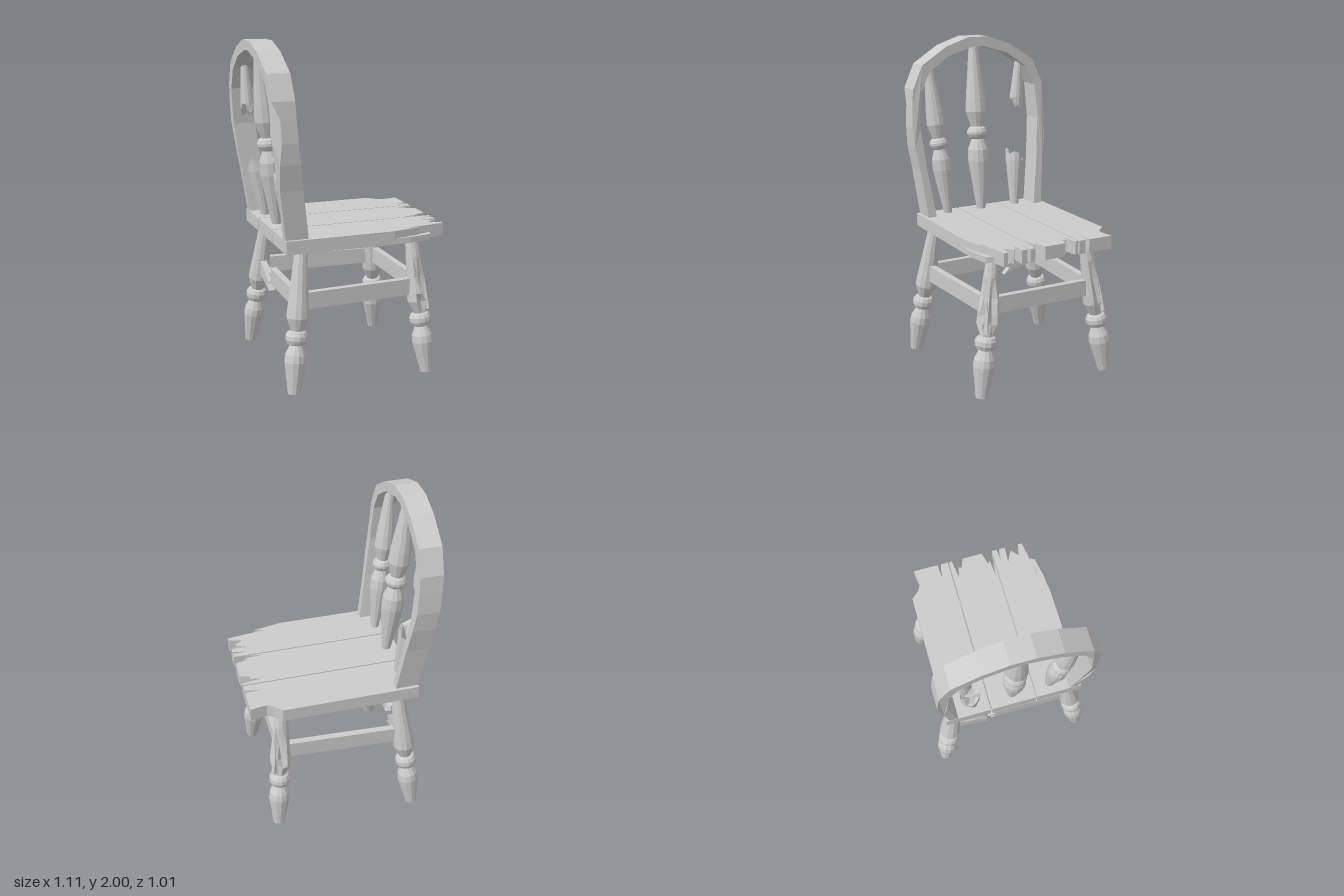
import * as THREE from 'three';

const material = new THREE.MeshStandardMaterial({ color: 0xcccccc, flatShading: true, side: THREE.DoubleSide });
const V = (x, y, z) => new THREE.Vector3(x, y, z);

function add(parent, name, geometry) {
  geometry.computeVertexNormals();
  const mesh = new THREE.Mesh(geometry, material);
  mesh.name = name;
  parent.add(mesh);
  return mesh;
}

function eachVertex(geometry, rule) {
  const p = geometry.attributes.position, v = V(0, 0, 0);
  for (let i = 0; i < p.count; i++) {
    rule(v.fromBufferAttribute(p, i));
    p.setXYZ(i, v.x, v.y, v.z);
  }
}

function slab(points, depth) {
  const shape = new THREE.Shape(points.map(([x, y]) => new THREE.Vector2(x, y)));
  return new THREE.ExtrudeGeometry(shape, { depth, bevelEnabled: false });
}

// Turned post: profile of [radius, fraction of length] along the line from a to b
function turned(parent, name, profile, a, b, rule) {
  const length = a.distanceTo(b);
  const g = new THREE.LatheGeometry(profile.map(([r, t]) => new THREE.Vector2(r, t * length)), 12);
  if (rule) eachVertex(g, rule);
  const mesh = add(parent, name, g);
  mesh.position.copy(a);
  mesh.quaternion.setFromUnitVectors(V(0, 1, 0), b.clone().sub(a).normalize());
  return mesh;
}

function rail(parent, name, a, b) {
  const mesh = add(parent, name, new THREE.BoxGeometry(0.04, 0.1, a.distanceTo(b)));
  mesh.position.copy(a).add(b).multiplyScalar(0.5);
  mesh.lookAt(b);
}

// Backward lean of the chair back: middle x at height y
const lean = y => y < 1.5 ? -0.39 - (y - 0.91) * 0.135 : -0.47 - (y - 1.5) * 0.037;

function buildSeat(group) {
  // Plank outlines [x, z], with splintered front ends
  const planks = [
    [[-0.46, -0.425], [0.37, -0.425], [0.41, -0.38], [0.45, -0.355], [0.55, -0.37], [0.55, -0.215],
      [0.45, -0.208], [0.52, -0.2], [0.55, -0.19], [0.55, -0.147], [-0.46, -0.147]],
    [[-0.46, -0.139], [0.55, -0.139], [0.55, -0.12], [0.43, -0.105], [0.5, -0.09], [0.49, -0.07], [0.55, -0.05],
      [0.55, 0.078], [0.47, 0.1], [0.49, 0.115], [0.37, 0.123], [0.48, 0.138], [-0.46, 0.138]],
    [[-0.46, 0.146], [0.55, 0.146], [0.55, 0.178], [0.46, 0.182], [0.55, 0.195], [0.55, 0.232], [0.45, 0.225],
      [0.5, 0.25], [0.52, 0.265], [0.47, 0.305], [0.55, 0.32], [0.55, 0.345], [0.45, 0.36], [0.31, 0.375],
      [0.37, 0.39], [0.2, 0.425], [-0.46, 0.425]],
  ];
  planks.forEach((outline, i) => {
    const g = slab(outline, 0.08);
    g.rotateX(Math.PI / 2);
    g.translate(0, 0.91, 0);
    add(group, 'seatPlank' + (i + 1), g);
  });
  // Torn lower splinter at the front corner
  const chip = slab([[0.2, 0.425], [0.37, 0.385], [0.46, 0.355], [0.44, 0.4], [0.3, 0.425]], 0.035);
  chip.rotateX(Math.PI / 2);
  chip.translate(0, 0.865, 0);
  add(group, 'seatSplinter', chip);
}

function buildBack(group) {
  // Bent hoop: half outlines [z, y], mirrored, extruded and leaned back
  const outer = [[0.405, 0.91], [0.435, 1.2], [0.46, 1.35], [0.47, 1.47], [0.462, 1.6], [0.452, 1.7],
    [0.385, 1.845], [0.22, 1.95], [0.07, 2]];
  const inner = [[0.035, 1.942], [0.2, 1.895], [0.335, 1.805], [0.4, 1.68], [0.415, 1.46], [0.39, 1.2], [0.35, 0.91]];
  const flip = half => half.map(([z, y]) => [-z, y]).reverse();
  const g = slab([...outer, ...flip(outer), ...flip(inner), ...inner], 0.136);
  g.rotateY(Math.PI / 2);
  eachVertex(g, v => {
    const rear = v.x < 0.01;
    v.x += lean(v.y) - 0.068;
    // Splintered outer rear edge on one side
    if (rear && v.z > 0.455 && v.y > 1.3 && v.y < 1.65) v.x += 0.025 + 0.02 * Math.sin(v.y * 40);
  });
  add(group, 'backHoop', g);

  const at = (y, z) => V(lean(y), y, z);
  const spindle = [[0, 0], [0.028, 0], [0.068, 0.3], [0.066, 0.37], [0.04, 0.435], [0.055, 0.445], [0.066, 0.465],
    [0.066, 0.48], [0.055, 0.5], [0.04, 0.51], [0.067, 0.6], [0.062, 0.68], [0.026, 1], [0, 1]];
  turned(group, 'centreSpindle', spindle, at(0.9, 0.005), at(1.95, 0.005));
  turned(group, 'sideSpindle', spindle.map(([r, t]) => [r * 0.87, t]), at(0.9, 0.24), at(1.85, 0.32));

  // Snapped spindle: jagged stump below, hanging remnant above
  turned(group, 'brokenSpindleLower', [[0, 0], [0.026, 0], [0.058, 0.9], [0.058, 1], [0.04, 0.97], [0, 0.8]],
    at(0.9, -0.24), at(1.22, -0.266), v => {
      const a = Math.atan2(v.z, v.x);
      if (v.y > 0.3) v.y += 0.035 * Math.sin(a) + 0.022 * Math.sin(3 * a + 1);
    });
  turned(group, 'brokenSpindleUpper', [[0, 0.25], [0.03, 0.06], [0.042, 0], [0.042, 0.15], [0.022, 1], [0, 1]],
    at(1.56, -0.297), at(1.85, -0.322), v => {
      const a = Math.atan2(v.z, v.x);
      if (v.y < 0.03) v.y += 0.04 * Math.sin(a) + 0.02 * Math.sin(3 * a);
    });
}

function buildLegs(group) {
  const profile = [[0, 0], [0.036, 0], [0.042, 0.05], [0.066, 0.22], [0.062, 0.27], [0.038, 0.335], [0.055, 0.343],
    [0.066, 0.37], [0.066, 0.4], [0.055, 0.425], [0.038, 0.433], [0.066, 0.52], [0.064, 0.58], [0.055, 0.7],
    [0.046, 0.84], [0.036, 1], [0, 1]];
  for (const s of [1, -1]) {
    turned(group, 'backLeg', profile, V(-0.44, 0.01, s * 0.465), V(-0.35, 0.85, s * 0.35));
    // Front legs have gouges on the outer front faces
    turned(group, 'frontLeg', profile, V(0.42, 0.01, s * 0.425), V(0.355, 0.85, s * 0.31), v => {
      if (v.y > 0.42 && v.y < 0.62 && v.x > -0.01 && v.z * s > -0.01) {
        const k = 0.72 + 0.28 * Math.sin(v.y * 50 + Math.atan2(v.z, v.x) * 5);
        v.x *= k;
        v.z *= k;
      }
    });
    // Loose splinter standing off the gouged leg
    const splinter = add(group, 'legSplinter', new THREE.ConeGeometry(0.018, 0.2, 4));
    splinter.position.set(0.425, 0.5, s * 0.39);
    splinter.rotation.set(-s * 0.12, 0, 0.1);
    rail(group, 'sideStretcher', V(-0.385, 0.54, s * 0.39), V(0.385, 0.54, s * 0.35));
  }
  rail(group, 'frontStretcher', V(0.38, 0.55, 0.35), V(0.38, 0.55, -0.35));

  // Back stretcher snapped in two, outlines in [z, y]
  const pieces = {
    backStretcherLong: [[0.39, 0.49], [0.39, 0.59], [-0.12, 0.595], [-0.09, 0.57], [-0.15, 0.55], [-0.1, 0.53], [-0.13, 0.495]],
    backStretcherStub: [[-0.4, 0.6], [-0.4, 0.5], [-0.28, 0.475], [-0.15, 0.435], [-0.19, 0.475], [-0.16, 0.49], [-0.24, 0.545]],
  };
  for (const [name, outline] of Object.entries(pieces)) {
    const g = slab(outline.map(([z, y]) => [-z, y]), 0.04);
    g.rotateY(Math.PI / 2);
    g.translate(-0.4, 0, 0);
    add(group, name, g);
  }
}

export function createModel() {
  const group = new THREE.Group();
  group.name = 'brokenChair';
  buildSeat(group);
  buildBack(group);
  buildLegs(group);
  return group;
}
